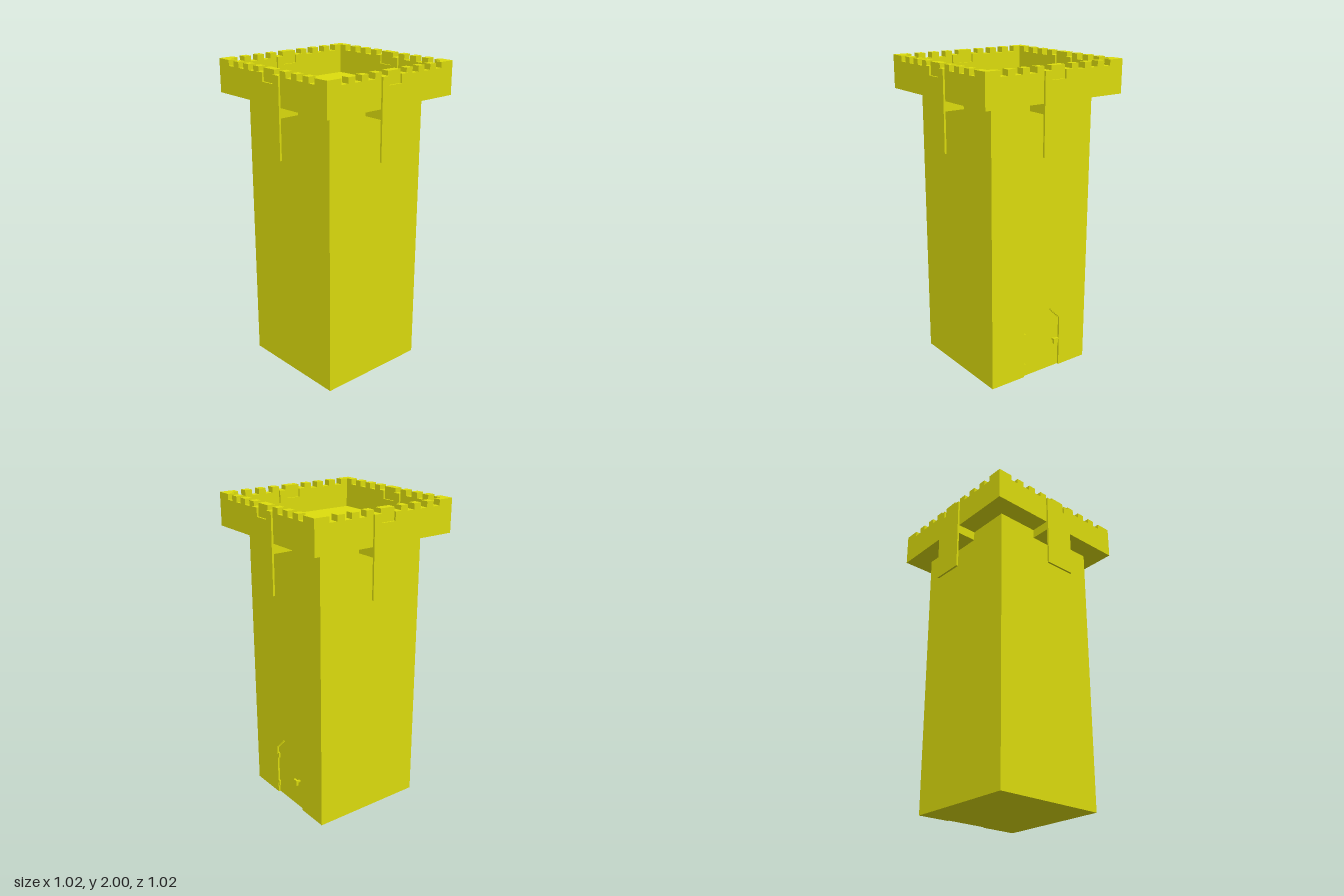
import * as THREE from 'three';

const material = new THREE.MeshStandardMaterial({ color: 0xdddd0d, flatShading: true });

function mesh(name, geometry) {
  const m = new THREE.Mesh(geometry, material);
  m.name = name;
  return m;
}

// Box given by its lower and upper corners
function box(name, [x0, y0, z0], [x1, y1, z1]) {
  const g = new THREE.BoxGeometry(x1 - x0, y1 - y0, z1 - z0);
  g.translate((x0 + x1) / 2, (y0 + y1) / 2, (z0 + z1) / 2);
  return mesh(name, g);
}

// Flat outline extruded along z, starting at the given z
function slab(name, points, z, depth) {
  const shape = new THREE.Shape(points.map(([x, y]) => new THREE.Vector2(x, y)));
  const g = new THREE.ExtrudeGeometry(shape, { depth, bevelEnabled: false });
  g.translate(0, 0, z);
  return mesh(name, g);
}

const HALF = 0.375;      // half width of the shaft
const WALL_Y = 1.79;     // underside of the parapet
const GAP_Y = 1.965;     // bottom of the gaps between merlons
const THIN = 0.0125;     // thickness of cloth and of the door recess

// One parapet side; four of them interlock at the corners
function parapetSide() {
  const top = [[0.45, 2]];
  const gaps = [0.35, 0.25, 0.15, 0.05, -0.1, -0.2, -0.3, -0.4];
  for (const x of gaps) {
    top.push([x + 0.05, 2], [x + 0.05, GAP_Y], [x, GAP_Y], [x, 2]);
  }
  return slab('parapetWall', [[-0.5, WALL_Y], [0.45, WALL_Y], ...top, [-0.5, 2]], 0.45, 0.05);
}

// Banner hung over the parapet around the middle merlon
function banner() {
  const group = new THREE.Group();
  group.name = 'banner';
  const cloth = (bottom) => [
    [-0.1, bottom], [0.1, bottom], [0.1, GAP_Y], [0.05, GAP_Y],
    [0.05, 1.92], [-0.05, 1.92], [-0.05, GAP_Y], [-0.1, GAP_Y],
  ];
  group.add(slab('bannerFront', cloth(1.48), 0.5, THIN));
  group.add(slab('bannerInnerFlap', cloth(1.895), 0.45 - THIN, THIN));
  for (const x of [-0.1, 0.05]) {
    group.add(box('bannerStrap', [x, GAP_Y, 0.45 - THIN], [x + 0.05, 1.973, 0.5 + THIN]));
  }
  return group;
}

// Shaft face with a stepped door opening and two hinge blocks on its edge
function doorFace() {
  const group = new THREE.Group();
  group.name = 'doorSide';
  const n = 6, step = 0.0125;
  const opening = [[-0.125, 0]];
  for (let i = 0; i < n; i++) {
    const x = -0.125 + i * step, y = 0.35 + i * step;
    opening.push([x, y], [x + step, y]);
  }
  opening.push([-0.05, 0.43], [0.085, 0.43]);
  for (let i = n - 1; i >= 0; i--) {
    const x = 0.16 - i * step, y = 0.35 + i * step;
    opening.push([x - step, y], [x, y]);
  }
  opening.push([0.16, 0]);
  group.add(slab('doorSurround',
    [[-HALF, 0], ...opening, [HALF, 0], [HALF, WALL_Y], [-HALF, WALL_Y]], HALF - THIN, THIN));

  for (const y of [0.05, 0.265]) {
    group.add(box('doorHinge', [-0.125, y, HALF - THIN], [-0.113, y + 0.038, HALF - 0.001]));
  }
  group.add(box('doorKnobStem', [0.111, 0.191, HALF - THIN], [0.123, 0.203, 0.388]));
  group.add(box('doorKnob', [0.099, 0.179, 0.387], [0.135, 0.215, 0.4]));
  group.rotation.y = Math.PI / 2;
  return group;
}

export function createModel() {
  const model = new THREE.Group();
  model.name = 'castleTower';

  // Shaft, with its door side as a separate facing
  model.add(box('shaft', [-HALF, 0, -HALF], [HALF - THIN, WALL_Y, HALF]));
  model.add(doorFace());

  // Floor inside the parapet
  model.add(box('platformFloor', [-0.45, WALL_Y, -0.45], [0.45, 1.812, 0.45]));

  // Parapet, banner and supporting bracket on every side
  for (let i = 0; i < 4; i++) {
    const side = new THREE.Group();
    side.name = 'towerTopSide';
    side.add(parapetSide(), banner());
    side.add(box('bracket', [-0.1, 1.73, HALF], [0.1, WALL_Y, 0.5]));
    side.rotation.y = (i * Math.PI) / 2;
    model.add(side);
  }
  return model;
}
